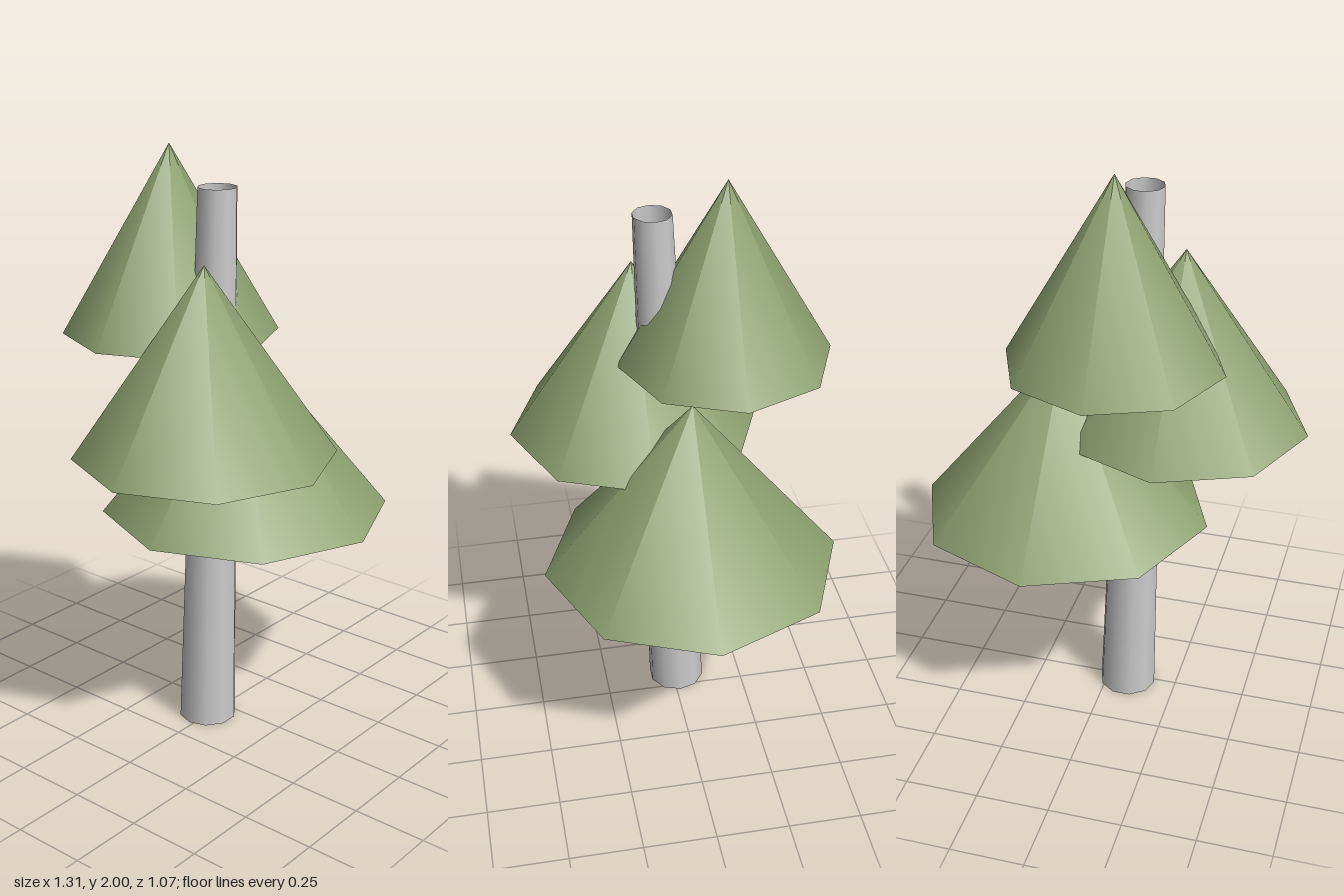
import * as THREE from 'three';

const bark = new THREE.MeshStandardMaterial({ color: 0xcccccc, side: THREE.DoubleSide });
const needles = new THREE.MeshStandardMaterial({ color: 0x8fa172, side: THREE.DoubleSide });

// Leaning, tapered, open tube: each ring slides sideways with its height
function makeTrunk(bottom, top, height, bottomRadius, topRadius) {
  const geometry = new THREE.CylinderGeometry(topRadius, bottomRadius, height, 10, 1, true);
  geometry.rotateY(Math.PI / 2).translate(0, height / 2, 0);
  const position = geometry.attributes.position;
  for (let i = 0; i < position.count; i++) {
    const t = position.getY(i) / height;
    position.setX(i, position.getX(i) + THREE.MathUtils.lerp(bottom.x, top.x, t));
    position.setZ(i, position.getZ(i) + THREE.MathUtils.lerp(bottom.z, top.z, t));
  }
  geometry.computeBoundingSphere();
  const trunk = new THREE.Mesh(geometry, bark);
  trunk.name = 'trunk';
  return trunk;
}

// Hollow eight-sided cone of foliage
function makeFoliage({ name, x, z, base, tip, radius }) {
  const height = tip - base;
  const foliage = new THREE.Mesh(new THREE.ConeGeometry(radius, height, 8, 1, true), needles);
  foliage.position.set(x, base + height / 2, z);
  foliage.name = name;
  return foliage;
}

export function createModel() {
  const tree = new THREE.Group();
  tree.name = 'tree';
  tree.add(makeTrunk({ x: -0.074, z: -0.015 }, { x: -0.1, z: 0.055 }, 1.89, 0.1, 0.064));

  // Three offset tiers, lowest first
  const tiers = [
    { name: 'lowerFoliage', x: 0.15, z: -0.027, base: 0.72, tip: 1.335, radius: 0.502 },
    { name: 'middleFoliage', x: -0.225, z: 0.105, base: 1.05, tip: 1.67, radius: 0.43 },
    { name: 'upperFoliage', x: -0.064, z: -0.176, base: 1.38, tip: 2, radius: 0.36 },
  ];
  for (const tier of tiers) tree.add(makeFoliage(tier));
  return tree;
}
